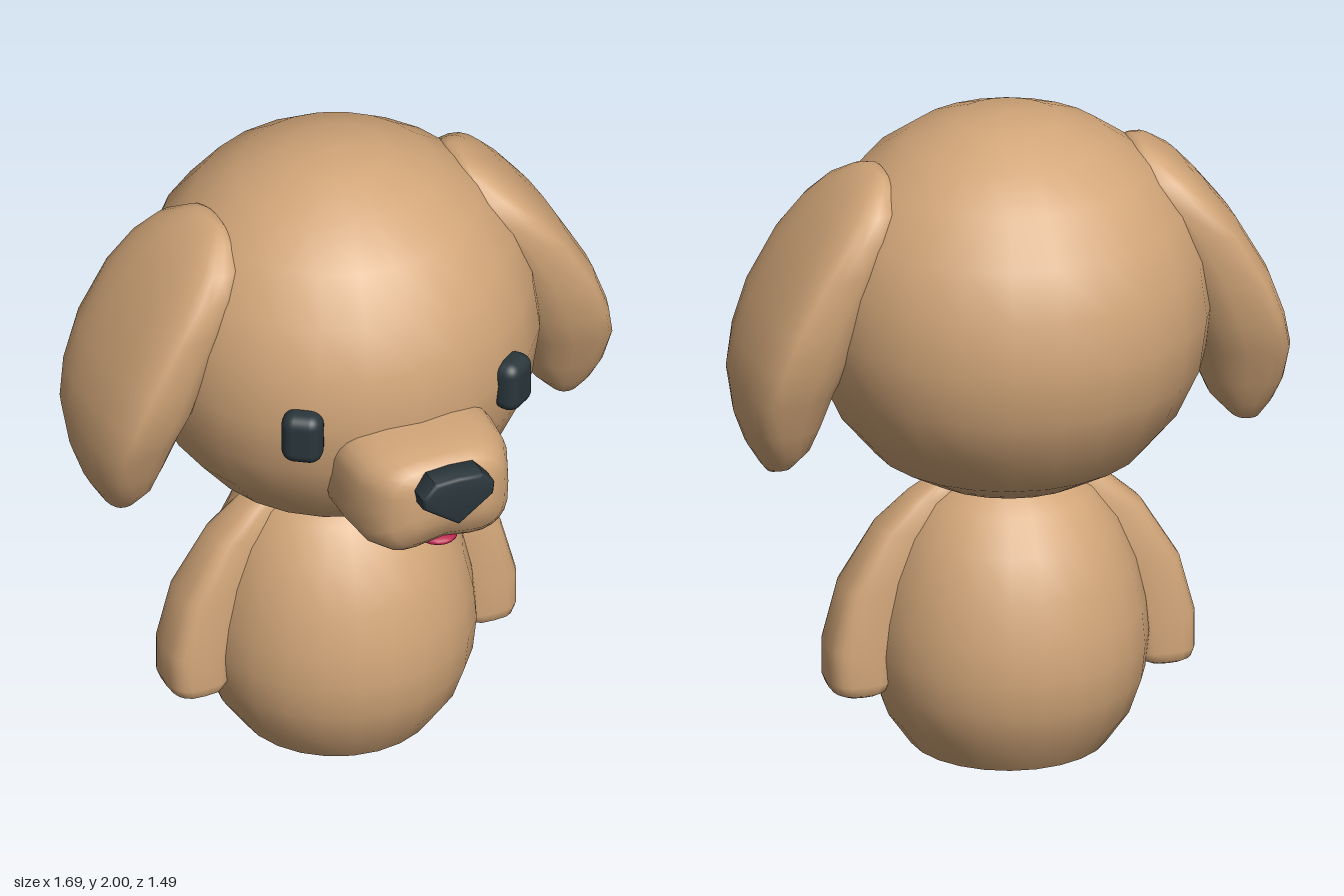
import * as THREE from 'three';
import { toCreasedNormals } from 'three/addons/utils/BufferGeometryUtils.js';
import { RoundedBoxGeometry } from 'three/addons/geometries/RoundedBoxGeometry.js';

const fur = new THREE.MeshStandardMaterial({ color: 0xd2a679 });
const dark = new THREE.MeshStandardMaterial({ color: 0x2a363b });
const pink = new THREE.MeshStandardMaterial({ color: 0xb81f4c });
const AXIS_Z = -0.14; // z of the vertical axis of head and body

const softPow = (v, p) => Math.sign(v) * Math.abs(v) ** p;

function add(parent, name, geometry, material, x = 0, y = 0, z = 0) {
  const mesh = new THREE.Mesh(geometry, material);
  mesh.name = name;
  mesh.position.set(x, y, z);
  parent.add(mesh);
  return mesh;
}

// Smooth skin over a stack of closed rings, with a fan at each end
function loft(rings) {
  const n = rings[0].length;
  const positions = [];
  const index = [];
  rings.forEach((ring) => ring.forEach((p) => positions.push(...p)));
  for (let j = 0; j < rings.length - 1; j++) {
    for (let i = 0; i < n; i++) {
      const k = (i + 1) % n;
      const a = j * n + i, b = j * n + k;
      index.push(a, b, a + n, b, b + n, a + n);
    }
  }
  [0, rings.length - 1].forEach((j) => {
    const centre = positions.length / 3;
    const sum = [0, 1, 2].map((c) => rings[j].reduce((s, p) => s + p[c], 0) / n);
    positions.push(...sum);
    for (let i = 0; i < n; i++) {
      const a = j * n + i, b = j * n + (i + 1) % n;
      if (j === 0) index.push(b, a, centre);
      else index.push(a, b, centre);
    }
  });
  const geometry = new THREE.BufferGeometry();
  geometry.setAttribute('position', new THREE.Float32BufferAttribute(positions, 3));
  geometry.setIndex(index);
  geometry.computeVertexNormals();
  return geometry;
}

// Limb levels are [y, inner x, outer x, half depth]; rim is the outer bulge
function limb(levels, rim, power) {
  const n = 20;
  return loft(levels.map(([y, xIn, xOut, hz]) => {
    const outer = Math.min(rim, (xOut - xIn) / 2);
    const mid = xOut - outer;
    return Array.from({ length: n }, (_, i) => {
      const a = (i / n) * Math.PI * 2;
      const s = softPow(Math.sin(a), power);
      return [mid + s * (s > 0 ? outer : mid - xIn), y, hz * softPow(Math.cos(a), power)];
    });
  }));
}

function turned(profile) {
  const points = profile.map(([r, y]) => new THREE.Vector2(r, y));
  return toCreasedNormals(new THREE.LatheGeometry(points, 24), 0.85);
}

export function createModel() {
  const model = new THREE.Group();
  model.name = 'puppy';

  // Body and head, turned around one axis
  add(model, 'body', turned([
    [0, 0], [0.3, 0], [0.37, 0.1], [0.408, 0.21], [0.42, 0.32], [0.41, 0.43],
    [0.38, 0.56], [0.325, 0.69], [0.25, 0.79], [0.14, 0.865], [0, 0.9],
  ]), fur, 0, 0, AXIS_Z);
  add(model, 'head', turned([
    [0, 0.865], [0.27, 0.865], [0.41, 0.945], [0.515, 1.07], [0.585, 1.22], [0.609, 1.39],
    [0.588, 1.55], [0.53, 1.7], [0.425, 1.83], [0.3, 1.92], [0.155, 1.98], [0, 2],
  ]), fur, 0, 0, AXIS_Z);

  // Arms and ears: the right side is the left one turned half around the axis
  const arm = limb([
    [0.2, 0.41, 0.535, 0.085], [0.21, 0.39, 0.555, 0.1], [0.24, 0.37, 0.567, 0.107],
    [0.35, 0.36, 0.567, 0.106], [0.53, 0.31, 0.52, 0.1], [0.71, 0.2, 0.41, 0.082],
    [0.8, 0.13, 0.31, 0.064], [0.845, 0.1, 0.24, 0.052], [0.866, 0.09, 0.16, 0.035],
  ], 0.1, 0.65);
  const ear = limb([
    [0.937, 0.71, 0.75, 0.03], [0.96, 0.68, 0.768, 0.085], [1.02, 0.625, 0.805, 0.135],
    [1.1, 0.59, 0.832, 0.175], [1.22, 0.55, 0.843, 0.228], [1.33, 0.5, 0.818, 0.262],
    [1.46, 0.46, 0.77, 0.275], [1.62, 0.4, 0.68, 0.268], [1.72, 0.37, 0.602, 0.245],
    [1.79, 0.36, 0.54, 0.2], [1.84, 0.37, 0.475, 0.125], [1.86, 0.385, 0.43, 0.07],
  ], 0.08, 0.8);
  for (const side of ['left', 'right']) {
    const turn = side === 'left' ? 0 : Math.PI;
    add(model, side + 'Arm', arm, fur, 0, 0, AXIS_Z).rotation.y = turn;
    add(model, side + 'Ear', ear, fur, 0, 0, AXIS_Z).rotation.y = turn;
  }

  // Muzzle sections are [z, half width, bottom, top], with a lip notch below
  const muzzle = [
    [0.25, 0.25, 1.03, 1.38], [0.44, 0.255, 1.03, 1.39], [0.55, 0.245, 1.03, 1.385],
    [0.62, 0.215, 1.047, 1.375], [0.66, 0.185, 1.085, 1.36], [0.685, 0.13, 1.15, 1.32],
  ].map(([z, hx, yb, yt]) => Array.from({ length: 28 }, (_, i) => {
    const a = (i / 28) * Math.PI * 2;
    const x = hx * softPow(Math.cos(a), 0.6);
    const notch = Math.sin(a) < -0.3 ? 0.028 * Math.exp(-((x / 0.09) ** 2)) : 0;
    return [x, (yb + yt) / 2 + ((yt - yb) / 2) * softPow(Math.sin(a), 0.6) + notch, z];
  }));
  add(model, 'muzzle', loft(muzzle), fur);

  // Nose: a rounded triangle
  const noseShape = new THREE.Shape([
    [0, 1.208], [0.1, 1.28], [0.103, 1.305], [0.07, 1.343], [0, 1.348],
    [-0.07, 1.343], [-0.103, 1.305], [-0.1, 1.28],
  ].map(([x, y]) => new THREE.Vector2(x, y)));
  const nose = new THREE.ExtrudeGeometry(noseShape, {
    depth: 0.05, bevelThickness: 0.02, bevelSize: 0.015, bevelSegments: 3,
  });
  add(model, 'nose', toCreasedNormals(nose, 0.7), dark, 0, 0, 0.675);

  // Tongue peeking out under the muzzle
  add(model, 'tongue', new THREE.SphereGeometry(0.06, 16, 10), pink, 0, 1.064, 0.585)
    .scale.set(1, 0.32, 1);

  // Eyes, turned to follow the head
  const eye = new RoundedBoxGeometry(0.125, 0.166, 0.09, 4, 0.04);
  for (const s of [1, -1]) {
    add(model, s > 0 ? 'leftEye' : 'rightEye', eye, dark, s * 0.343, 1.378, 0.37)
      .rotation.y = s * 0.6;
  }
  return model;
}
